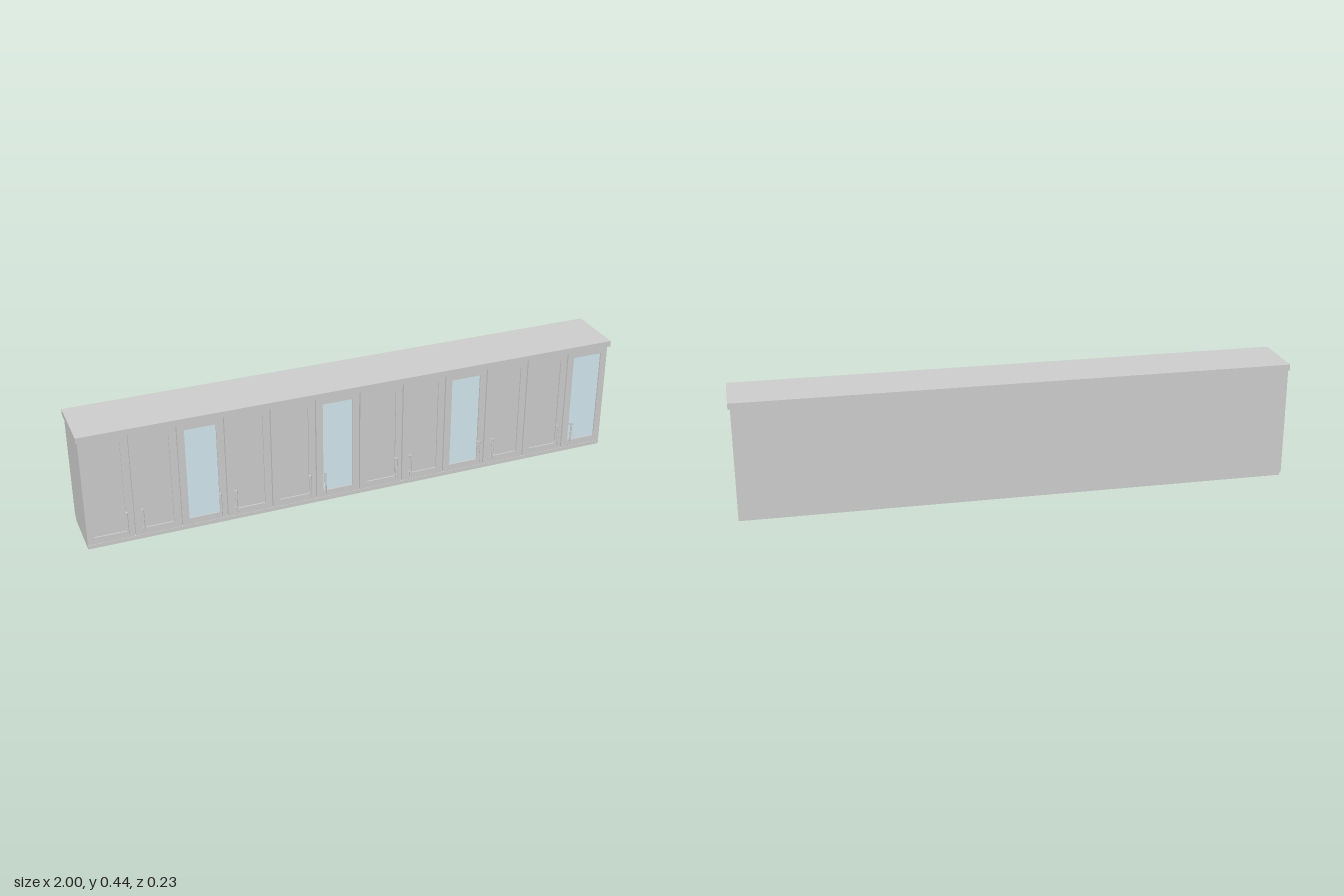
import * as THREE from 'three';

const grey = new THREE.MeshStandardMaterial({ color: 0xcccccc });
const glass = new THREE.MeshStandardMaterial({ color: 0xd2e6ee });

// Box given by its minimum and maximum corners
function box(name, [x0, y0, z0], [x1, y1, z1], material = grey) {
  const mesh = new THREE.Mesh(new THREE.BoxGeometry(x1 - x0, y1 - y0, z1 - z0), material);
  mesh.position.set((x0 + x1) / 2, (y0 + y1) / 2, (z0 + z1) / 2);
  mesh.name = name;
  return mesh;
}

function rect(Type, x0, y0, x1, y1) {
  return new Type([[x0, y0], [x1, y0], [x1, y1], [x0, y1]].map(p => new THREE.Vector2(...p)));
}

const LEFT = -0.994, RIGHT = 0.992, COUNT = 12;
const PITCH = (RIGHT - LEFT) / COUNT;
const BACK = -0.117, CARCASS_FRONT = 0.083, DOOR_FRONT = 0.0945;
const DOOR_BOTTOM = 0.016, DOOR_TOP = 0.412, STILE = 0.025, GAP = 0.002;

// Framed door with a recessed panel, either solid or glazed
function createDoor(index) {
  const door = new THREE.Group();
  door.name = 'door';
  const x0 = LEFT + index * PITCH + (index ? GAP : 0);
  const x1 = LEFT + (index + 1) * PITCH - (index < COUNT - 1 ? GAP : 0);
  const shape = rect(THREE.Shape, x0, DOOR_BOTTOM, x1, DOOR_TOP);
  const inner = [x0 + STILE, DOOR_BOTTOM + STILE, x1 - STILE, DOOR_TOP - 0.022];
  shape.holes.push(rect(THREE.Path, ...inner));
  const frame = new THREE.Mesh(
    new THREE.ExtrudeGeometry(shape, { depth: DOOR_FRONT - CARCASS_FRONT, bevelEnabled: false }), grey);
  frame.position.z = CARCASS_FRONT;
  frame.name = 'doorFrame';
  const glazed = index % 3 === 2;
  door.add(frame, box(glazed ? 'glassPane' : 'doorPanel',
    [inner[0], inner[1], CARCASS_FRONT], [inner[2], inner[3], DOOR_FRONT - 0.005],
    glazed ? glass : grey));
  return door;
}

// Upright bar handle on two posts
function createHandle(x) {
  const handle = new THREE.Group();
  handle.name = 'handle';
  const bar = new THREE.Mesh(new THREE.CylinderGeometry(0.0035, 0.0035, 0.088, 16), grey);
  bar.position.set(x, 0.084, 0.114);
  bar.name = 'handleBar';
  handle.add(bar);
  for (const y of [0.05, 0.118]) {
    const post = new THREE.Mesh(new THREE.CylinderGeometry(0.0023, 0.0023, 0.02, 12), grey);
    post.rotation.x = Math.PI / 2;
    post.position.set(x, y, 0.104);
    post.name = 'handlePost';
    handle.add(post);
  }
  return handle;
}

export function createModel() {
  const model = new THREE.Group();
  model.name = 'wallCabinetRow';

  // Cabinet body, lower light rail and overhanging top
  model.add(
    box('carcass', [LEFT, 0.015, BACK], [RIGHT, 0.416, CARCASS_FRONT]),
    box('bottomRail', [LEFT, 0, -0.1035], [RIGHT, 0.015, DOOR_FRONT]),
    box('topSlab', [-1, 0.415, BACK], [1, 0.437, 0.102]));

  // Doors, with handles at the meeting edges of each pair
  for (let i = 0; i < COUNT; i++) {
    model.add(createDoor(i));
    const seam = LEFT + (i % 2 ? i : i + 1) * PITCH;
    model.add(createHandle(seam + (i % 2 ? 0.028 : -0.028)));
  }
  return model;
}
